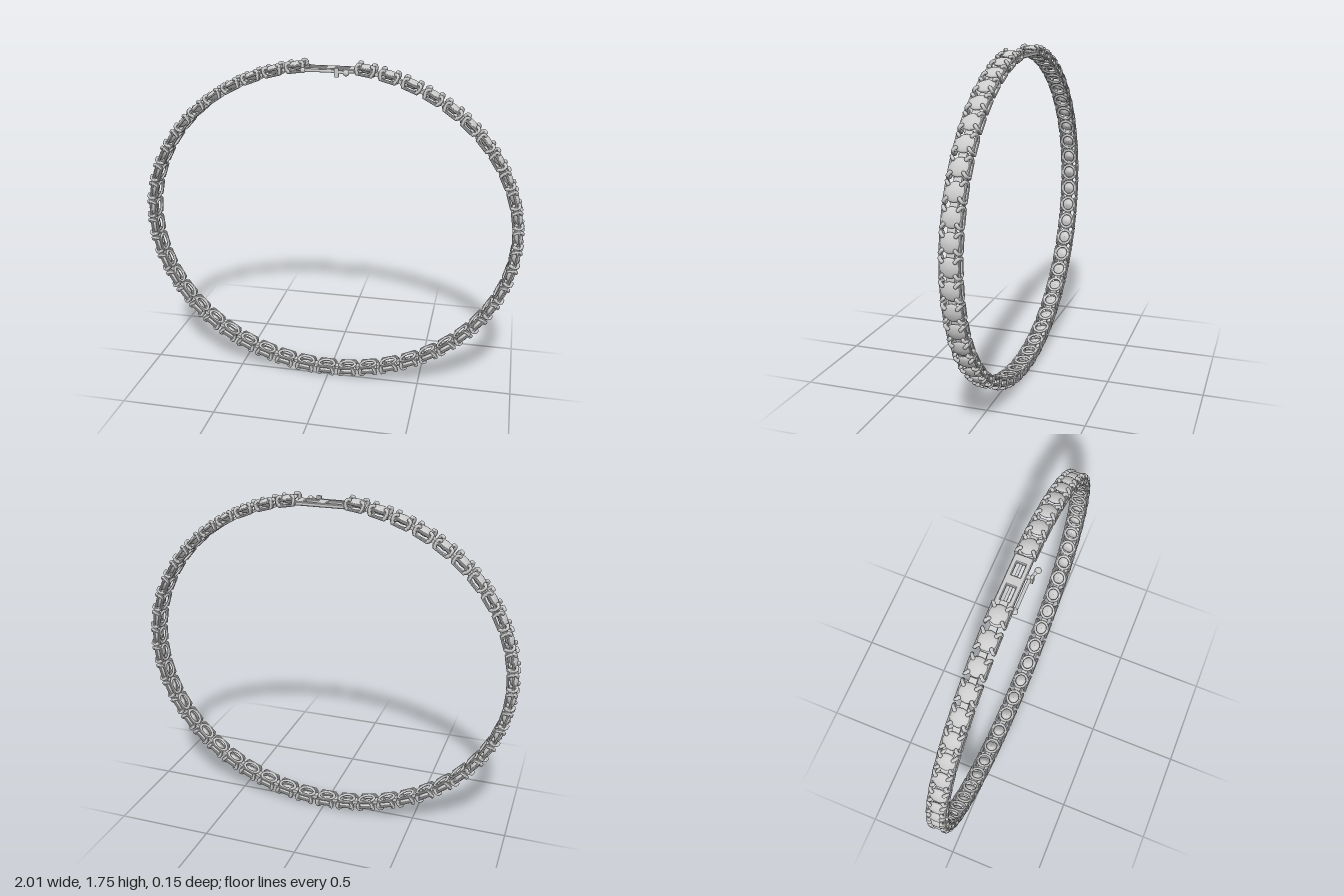
import * as THREE from 'three';

const material = new THREE.MeshStandardMaterial({ color: 0xcccccc, side: THREE.DoubleSide });
const V = (x, y, z) => new THREE.Vector3(x, y, z);

function add(parent, name, geometry, x = 0, y = 0, z = 0) {
  const mesh = new THREE.Mesh(geometry, material);
  mesh.name = name;
  mesh.position.set(x, y, z);
  parent.add(mesh);
  return mesh;
}

function tube(points, radius, segments = 8) {
  return new THREE.TubeGeometry(new THREE.CatmullRomCurve3(points), segments, radius, 7);
}

function polygon(points) {
  return points.map(([x, y]) => new THREE.Vector2(x, y));
}

// Plate with holes, extruded along z and centred on it
function plate(outline, holes, depth, bevel) {
  const shape = new THREE.Shape(polygon(outline));
  for (const hole of holes) shape.holes.push(new THREE.Path(polygon(hole)));
  const geometry = new THREE.ExtrudeGeometry(shape, {
    depth, bevelEnabled: true, bevelThickness: bevel, bevelSize: bevel, bevelOffset: -bevel, bevelSegments: 1,
  });
  return geometry.translate(0, 0, -depth / 2);
}

const rect = (x0, x1, y0, y1) => [[x0, y0], [x1, y0], [x1, y1], [x0, y1]];

// One setting: x runs along the bracelet, y points outward
function createLink() {
  const link = new THREE.Group();

  // Domed stone with a pointed underside
  const stoneProfile = polygon([[0, -0.02], [0.018, -0.014], [0.044, 0.004], [0.046, 0.009],
    [0.041, 0.015], [0.03, 0.02], [0.016, 0.0235], [0, 0.025]]);
  add(link, 'stone', new THREE.LatheGeometry(stoneProfile, 20));

  // Windowed side walls of the basket
  const wall = plate(
    [[-0.04, -0.028], [0.04, -0.028], [0.052, -0.012], [0.053, 0.012], [-0.053, 0.012], [-0.052, -0.012]],
    [rect(-0.031, 0.031, -0.017, 0.001)], 0.006, 0.003);
  for (const side of [-1, 1]) add(link, 'sideWall', wall, 0, 0, side * 0.044);

  // Oval rail on the inside of the bracelet
  const rail = new THREE.TorusGeometry(0.038, 0.008, 6, 20).rotateX(Math.PI / 2).scale(1.12, 0.8, 1);
  add(link, 'innerRail', rail, 0, -0.022, 0);

  // Four hooked prongs
  for (const sx of [-1, 1]) {
    for (const sz of [-1, 1]) {
      add(link, 'prong', tube([
        V(sx * 0.034, -0.02, sz * 0.044), V(sx * 0.043, 0.002, sz * 0.044),
        V(sx * 0.042, 0.019, sz * 0.04), V(sx * 0.03, 0.023, sz * 0.03)], 0.0085));
      const tip = new THREE.SphereGeometry(0.0095, 8, 6);
      add(link, 'prongTip', tip, sx * 0.03, 0.0215, sz * 0.03);
    }
  }

  // Hinge joining the neighbouring link
  add(link, 'hinge', new THREE.BoxGeometry(0.03, 0.018, 0.036), 0.053, -0.01, 0);
  return link;
}

function createClasp() {
  const clasp = new THREE.Group();
  clasp.name = 'clasp';

  // Flat frame with two windows, lying across the gap
  const frame = plate(rect(-0.125, 0.14, -0.045, 0.045),
    [rect(-0.09, -0.015, -0.021, 0.021), rect(0.035, 0.1, -0.021, 0.021)], 0.012, 0.004);
  add(clasp, 'claspFrame', frame.rotateX(Math.PI / 2), 0, 1.7, -0.023);
  add(clasp, 'claspTongue', new THREE.BoxGeometry(0.2, 0.008, 0.014), 0, 1.695, -0.023);

  // Safety latch along the front edge
  add(clasp, 'latchArm', tube([V(-0.12, 1.7, 0.036), V(-0.04, 1.701, 0.036),
    V(0.04, 1.701, 0.038), V(0.1, 1.699, 0.055)], 0.008, 16));
  add(clasp, 'latchPivot', new THREE.SphereGeometry(0.014, 12, 8), -0.118, 1.7, 0.036);
  const pin = new THREE.CylinderGeometry(0.009, 0.009, 0.035, 10).rotateX(Math.PI / 2);
  add(clasp, 'latchPivotPin', pin, -0.108, 1.7, 0.022);
  add(clasp, 'latchKnob', new THREE.SphereGeometry(0.016, 12, 8), 0.1, 1.699, 0.056);
  add(clasp, 'latchCatch', new THREE.BoxGeometry(0.022, 0.044, 0.014), 0.052, 1.698, 0.047);
  add(clasp, 'latchCatchPin', new THREE.BoxGeometry(0.016, 0.014, 0.035), 0.052, 1.7, 0.03);
  return clasp;
}

export function createModel() {
  const model = new THREE.Group();
  model.name = 'bracelet';

  // Links spaced round an oval, leaving a gap at the top for the clasp
  const a = 0.971, b = 0.847, count = 49;
  const start = THREE.MathUtils.degToRad(79), step = THREE.MathUtils.degToRad(7.07);
  const prototype = createLink();
  for (let i = 0; i < count; i++) {
    const t = start - i * step;
    const link = prototype.clone();
    link.name = 'link';
    link.position.set(a * Math.cos(t), 0.874 + b * Math.sin(t), -0.021);
    link.rotation.z = Math.atan2(Math.sin(t) / b, Math.cos(t) / a) - Math.PI / 2;
    model.add(link);
  }

  model.add(createClasp());
  return model;
}
